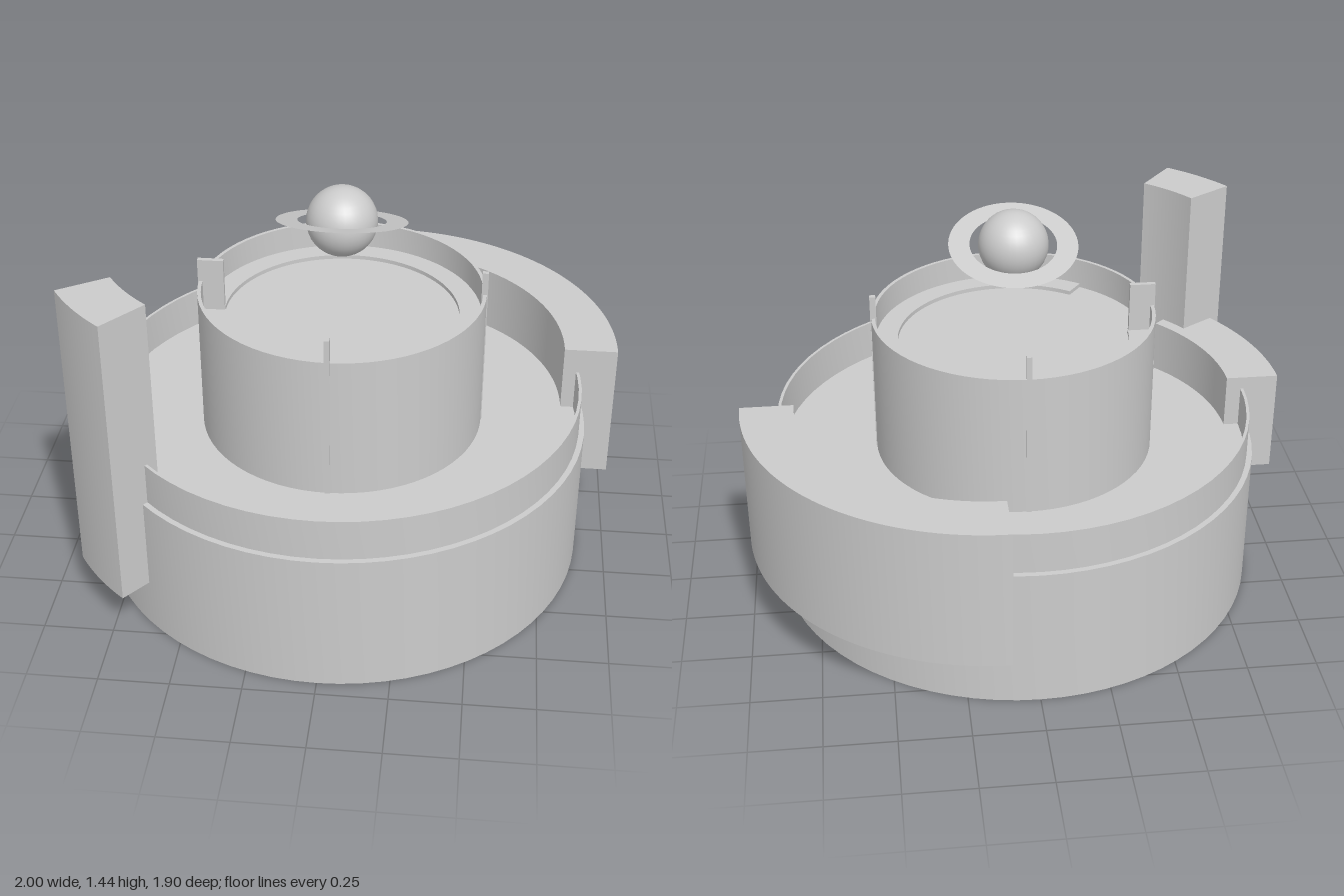
import * as THREE from 'three';
import { toCreasedNormals } from 'three/addons/utils/BufferGeometryUtils.js';

const CENTER_Z = 0.053;
const deg = THREE.MathUtils.degToRad;

export function createModel() {
  const model = new THREE.Group();
  const grey = new THREE.MeshStandardMaterial({ color: 0xcccccc });
  const greyThin = new THREE.MeshStandardMaterial({ color: 0xcccccc, side: THREE.DoubleSide });

  const add = (name, geometry, x, y, z, material = grey) => {
    const mesh = new THREE.Mesh(geometry, material);
    mesh.name = name;
    mesh.position.set(x, y, z);
    model.add(mesh);
    return mesh;
  };

  // Turned solid from a [radius, height] profile running bottom to top
  const turned = (profile) => toCreasedNormals(
    new THREE.LatheGeometry(profile.map(([r, y]) => new THREE.Vector2(r, y)), 72), 0.5);

  // Upright curved block: a ring sector between two angles (counter-clockwise from above)
  const sector = (inner, outer, from, to, height) => {
    const shape = new THREE.Shape();
    shape.absarc(0, 0, outer, deg(from), deg(to), false);
    shape.absarc(0, 0, inner, deg(to), deg(from), true);
    const geometry = new THREE.ExtrudeGeometry(shape, {
      depth: height, bevelEnabled: false, curveSegments: Math.max(8, Math.ceil((to - from) / 4)),
    });
    geometry.rotateX(-Math.PI / 2);
    return toCreasedNormals(geometry, 0.5);
  };

  // Round base with a thin raised lip around its floor
  add('base', turned([
    [0, 0], [0.893, 0], [0.893, 0.527], [0.873, 0.527], [0.873, 0.68],
    [0.862, 0.68], [0.862, 0.527], [0, 0.527],
  ]), 0, 0, CENTER_Z);

  // Central drum with a recessed top
  add('drum', turned([
    [0.513, 0.527], [0.513, 1.055], [0.5, 1.055], [0.5, 0.942], [0, 0.942],
  ]), 0, 0, CENTER_Z);
  add('drumLedge', sector(0.42, 0.5, -127, 180, 0.015), 0, 0.942, CENTER_Z);

  // Thin posts on the drum wall, with a wider fin on the right
  for (let i = 0; i < 4; i++) {
    const a = i * Math.PI / 2;
    const post = add('post', new THREE.BoxGeometry(0.022, 0.613, 0.018),
      Math.cos(a) * 0.505, 0.8335, CENTER_Z - Math.sin(a) * 0.505);
    post.rotation.y = a;
  }
  add('fin', new THREE.BoxGeometry(0.092, 0.2, 0.018), -0.469, 1.04, CENTER_Z);

  // Curved outer walls
  add('backWall', sector(0.7, 0.893, 0, 90, 0.525), 0.107, 0.25, -0.057);
  add('sideWall', sector(0.7, 0.893, 180, 222.5, 0.393), -0.107, 0.335, CENTER_Z);
  add('tallPillar', sector(0.7, 0.893, 213, 231.5, 1.1), -0.138, 0.185, 0.09);

  // Floating ringed globe
  add('globe', new THREE.SphereGeometry(0.125, 32, 20), 0, 1.318, CENTER_Z);
  const ring = add('globeRing', new THREE.RingGeometry(0.155, 0.23, 64), 0, 1.318, CENTER_Z, greyThin);
  ring.rotation.x = -Math.PI / 2 - deg(16.5);

  return model;
}
